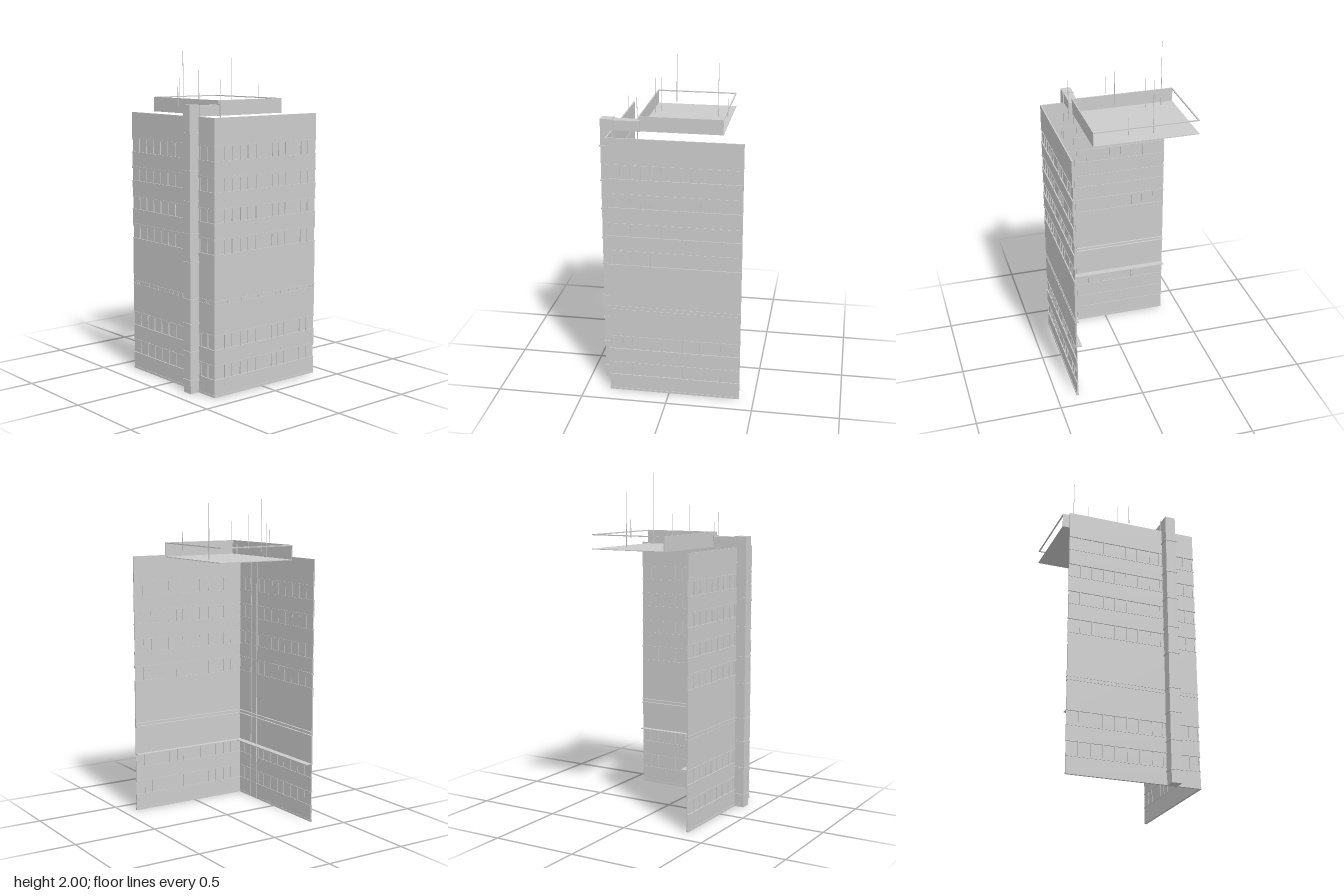
import * as THREE from 'three';

const mat = new THREE.MeshStandardMaterial({ color: 0xcccccc, flatShading: true });

// box given by its min and max corners
function box(parent, name, x0, x1, y0, y1, z0, z1) {
  const m = new THREE.Mesh(new THREE.BoxGeometry(x1 - x0, y1 - y0, z1 - z0), mat);
  m.position.set((x0 + x1) / 2, (y0 + y1) / 2, (z0 + z1) / 2);
  m.name = name;
  parent.add(m);
}

const windowBands = [[0.10, 0.18], [0.27, 0.35], [0.805, 0.885], [0.98, 1.055], [1.15, 1.225], [1.32, 1.40]];
const WALL_TOP = 1.555;

// One facade. along = [start, end] on its run; put(name, a0, a1, y0, y1, d0, d1)
// where d is the depth inwards from the outer face.
function facade(name, a0, a1, mullions, deepLedge, put) {
  const g = new THREE.Group();
  g.name = name;
  const add = (n, ...r) => put(g, n, ...r);

  // solid strips between the window bands
  let y = 0;
  for (const [lo, hi] of [...windowBands, [WALL_TOP, WALL_TOP]]) {
    add('spandrel', a0, a1, y, lo, 0, 0.008);
    y = hi;
  }

  for (const [lo, hi] of windowBands) {
    add('windowPane', a0, a1, lo, hi, 0.004, 0.007);
    add('windowSill', a0, a1, lo - 0.004, lo + 0.001, -0.003, 0.011);
    add('windowHead', a0, a1, hi - 0.001, hi + 0.004, -0.003, 0.011);
    for (const f of mullions) {
      const c = a0 + f * (a1 - a0);
      add('mullion', c - 0.003, c + 0.003, lo, hi, -0.001, 0.01);
    }
  }

  // base, stronger courses and the two inner ledges
  add('baseCourse', a0, a1, 0, 0.012, -0.003, 0.01);
  for (const c of [0.885, 1.225]) add('stringCourse', a0, a1, c, c + 0.009, -0.003, 0.012);
  add('lowerLedge', a0, a1, 0.35, 0.355, -0.002, deepLedge);
  add('middleLedge', a0, a1, 0.522, 0.527, -0.003, 0.02);
  add('middleLedge', a0, a1, 0.542, 0.547, -0.003, 0.02);
  for (let i = 0; i < 36; i++) {
    const c = a0 + ((i + 0.5) / 36) * (a1 - a0);
    add('dentil', c - 0.004, c + 0.004, 0.527, 0.542, -0.001, 0.005);
  }
  return g;
}

export function createModel() {
  const model = new THREE.Group();
  model.name = 'officeTower';

  // front facade and side facade
  model.add(facade('frontFacade', -0.35, 0.415,
    [0.1, 0.17, 0.25, 0.32, 0.4, 0.56, 0.62, 0.69, 0.85, 0.92], 0.037,
    (g, n, p0, p1, y0, y1, d0, d1) => box(g, n, p0, p1, y0, y1, 0.382 - d1, 0.382 - d0)));
  model.add(facade('sideFacade', -0.385, 0.382,
    [0.09, 0.18, 0.27, 0.36, 0.45, 0.54, 0.64, 0.72, 0.84, 0.92], 0.047,
    (g, n, p0, p1, y0, y1, d0, d1) => box(g, n, -0.35 + d0, -0.35 + d1, y0, y1, p0, p1)));

  // shaft against the side facade, with a collar at each landing
  const shaft = new THREE.Group();
  shaft.name = 'shaft';
  model.add(shaft);
  box(shaft, 'shaftBody', -0.41, -0.34, 0, 1.62, 0.185, 0.245);
  for (const y of [0.075, 0.24, 0.40, 0.54, 0.75, 0.91, 1.09, 1.26, 1.465]) {
    box(shaft, 'shaftCollar', -0.415, -0.345, y - 0.004, y + 0.004, 0.18, 0.25);
  }
  for (const z of [0.185, 0.245]) box(shaft, 'shaftRail', -0.342, -0.336, 0, 1.62, z - 0.003, z + 0.003);

  // bridge from the shaft to the roof
  box(model, 'roofBridge', -0.34, -0.19, 1.556, 1.615, 0.188, 0.241);
  box(model, 'bridgeEnd', -0.197, -0.184, 1.556, 1.62, 0.18, 0.25);

  // roof slab, two parapet walls and a thin rim on all four sides
  const roof = new THREE.Group();
  roof.name = 'roof';
  model.add(roof);
  const [x0, x1, z0, z1] = [-0.195, 0.282, -0.377, 0.229];
  box(roof, 'roofSlab', x0, x1, 1.554, 1.558, z0, z1);
  box(roof, 'frontParapet', x0, x1, 1.556, 1.634, z1 - 0.004, z1);
  box(roof, 'sideParapet', x0, x0 + 0.004, 1.556, 1.634, z0, z1);
  for (const z of [z0, z1 - 0.007]) box(roof, 'parapetRim', x0, x1, 1.634, 1.64, z, z + 0.007);
  for (const x of [x0, x1 - 0.007]) box(roof, 'parapetRim', x, x + 0.007, 1.634, 1.64, z0, z1);

  // antennas: x, z, foot, top
  const antennas = [
    [-0.14, -0.198, 1.558, 1.755], [-0.06, -0.265, 1.6, 1.91], [0.206, -0.135, 1.558, 1.873],
    [-0.142, -0.011, 1.6, 1.80], [-0.3, -0.002, 1.6, 1.71], [0.281, 0.03, 1.6, 1.71],
    [-0.196, 0.249, 1.51, 1.755],
  ];
  for (const [x, z, foot, top] of antennas) {
    const mast = new THREE.Mesh(new THREE.CylinderGeometry(0.0012, 0.0025, top - foot, 6), mat);
    mast.position.set(x, (foot + top) / 2, z);
    mast.name = 'antenna';
    model.add(mast);
  }
  // fine needle on the tallest antenna
  const needle = new THREE.Mesh(new THREE.CylinderGeometry(0.0002, 0.0006, 0.09, 5), mat);
  needle.position.set(-0.06, 1.955, -0.265);
  needle.name = 'antennaNeedle';
  model.add(needle);

  return model;
}
